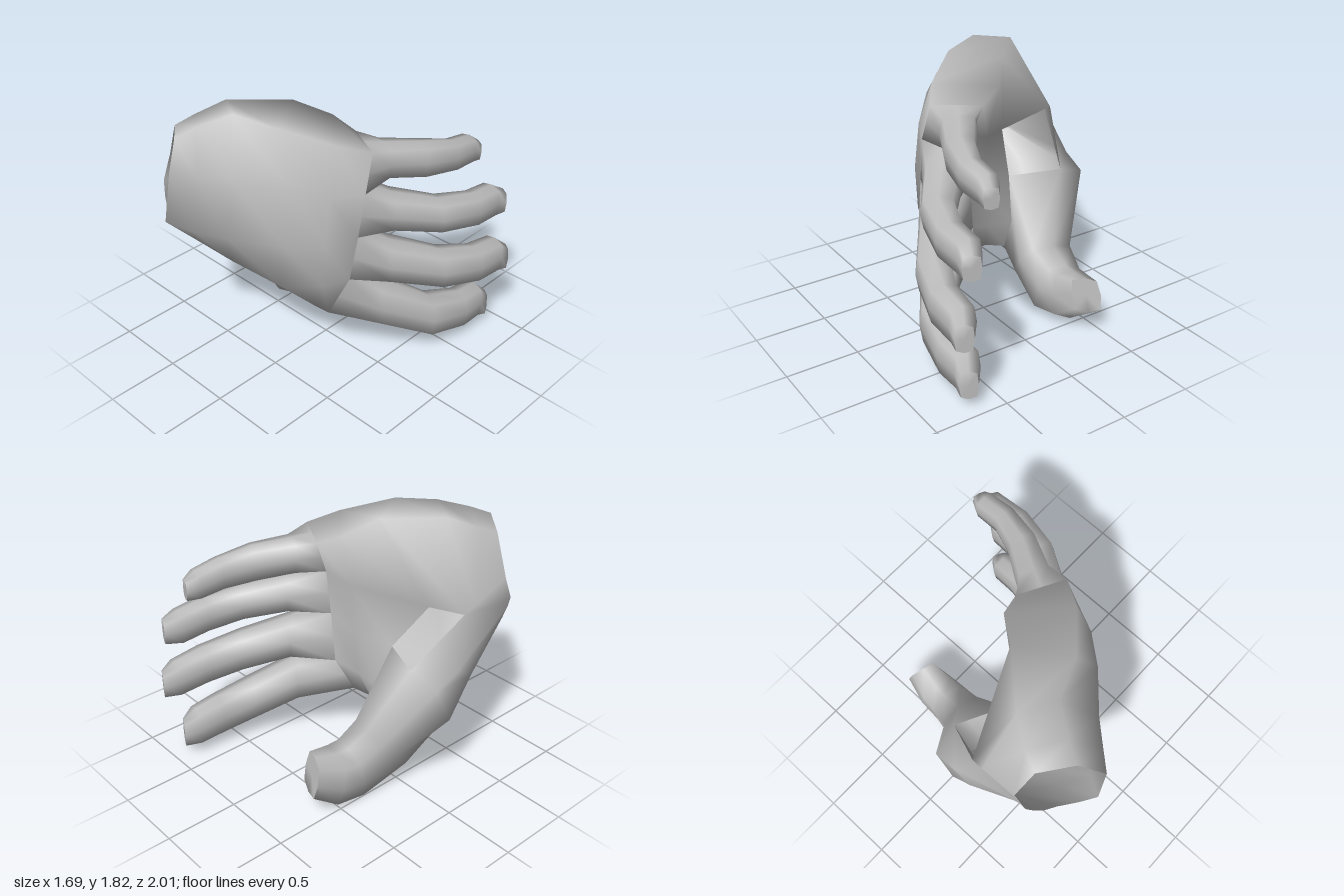
import * as THREE from 'three';

const skin = new THREE.MeshStandardMaterial({ color: 0xbcbcbc, side: THREE.DoubleSide });
skin.name = 'plain grey';

const mid = (a, b) => a.map((v, q) => (v + b[q]) / 2);

// Skin a list of closed rings; skip(i, j) leaves a cell open, cap closes the last ring.
function loft(name, rings, { skip = () => false, cap = true } = {}) {
  const n = rings[0].length;
  const pos = rings.flat(2);
  const index = [];
  for (let i = 0; i < rings.length - 1; i++) {
    for (let j = 0; j < n; j++) {
      if (skip(i, j)) continue;
      const k = (j + 1) % n;
      const a = i * n + j, b = i * n + k, c = a + n, d = b + n;
      index.push(a, b, d, a, d, c);
    }
  }
  if (cap) {
    const last = rings[rings.length - 1];
    const start = pos.length / 3;
    const centre = [0, 1, 2].map((q) => last.reduce((s, p) => s + p[q], 0) / n);
    pos.push(...last.flat(), ...centre);
    for (let j = 0; j < n; j++) index.push(start + j, start + ((j + 1) % n), start + n);
  }
  const geo = new THREE.BufferGeometry();
  geo.setAttribute('position', new THREE.Float32BufferAttribute(pos, 3));
  geo.setIndex(index);
  geo.computeVertexNormals();
  const mesh = new THREE.Mesh(geo, skin);
  mesh.name = name;
  return mesh;
}

// Average normals where parts meet, leaving sharp edges sharp.
function blendSeams(meshes) {
  const spots = new Map();
  for (const { geometry: g } of meshes) {
    const p = g.attributes.position;
    for (let i = 0; i < p.count; i++) {
      const key = [p.getX(i), p.getY(i), p.getZ(i)].map((v) => v.toFixed(3)).join();
      if (!spots.has(key)) spots.set(key, []);
      const normal = new THREE.Vector3().fromBufferAttribute(g.attributes.normal, i);
      spots.get(key).push({ attr: g.attributes.normal, i, normal });
    }
  }
  for (const list of spots.values()) {
    for (const a of list) {
      const sum = new THREE.Vector3();
      for (const b of list) if (a.normal.dot(b.normal) > 0.4) sum.add(b.normal);
      if (sum.lengthSq() > 0) sum.normalize();
      a.attr.setXYZ(a.i, sum.x, sum.y, sum.z);
    }
  }
}

// Eight-sided rounded box ring about c, with half-axes h (up) and w (right of travel).
function ring(c, h, w) {
  const soft = (v) => (Math.abs(v) < 1e-6 ? 0 : Math.sign(v) * Math.abs(v) ** 0.55);
  return Array.from({ length: 8 }, (_, k) => {
    const t = (k / 8) * Math.PI * 2;
    const cs = soft(Math.cos(t)), sn = soft(Math.sin(t));
    return c.map((v, q) => v + h[q] * cs + w[q] * sn);
  });
}

// Finger grown from a base ring; stations: x, y, z, half height, half thickness
function finger(name, base, stations) {
  const root = mid(base[2], base[6]);
  const rings = stations.map(([x, y, z, hh, hw], i) => {
    const a = i ? stations[i - 1] : root;
    const b = stations[Math.min(i + 1, stations.length - 1)];
    const dx = b[0] - a[0], dz = b[2] - a[2], len = Math.hypot(dx, dz);
    return ring([x, y, z], [0, hh, 0], [(-dz / len) * hw, 0, (dx / len) * hw]);
  });
  return loft(name, [base, ...rings]);
}

export function createModel() {
  const hand = new THREE.Group();
  hand.name = 'hand';

  // Palm: each ring runs top, back of hand, underside, thumb mound, palm
  const wrist = [
    [-0.46, 1.71, 0.84], [-0.35, 1.57, 0.98], [-0.41, 1.21, 1.0],
    [-0.5, 1.15, 0.93], [-0.6, 1.08, 0.84], [-0.67, 1.04, 0.79],
    [-0.73, 1.16, 0.76], [-0.77, 1.25, 0.73], [-0.78, 1.42, 0.65], [-0.65, 1.68, 0.69],
  ];
  const heel = [
    [-0.39, 1.77, 0.71], [-0.24, 1.54, 0.86], [-0.32, 1.12, 0.87],
    [-0.46, 0.93, 0.74], [-0.68, 0.8, 0.53], [-0.84, 0.87, 0.31],
    [-0.845, 0.95, 0.18], [-0.77, 1.27, 0.37], [-0.775, 1.32, 0.38], [-0.6, 1.73, 0.57],
  ];
  const mound = [
    [-0.27, 1.83, 0.53], [-0.1, 1.5, 0.71], [-0.18, 1.05, 0.71],
    [-0.4, 0.67, 0.5], [-0.66, 0.38, 0.16], [-0.84, 0.6, 0.13],
    [-0.84, 0.87, 0.0], [-0.63, 0.94, -0.03], [-0.77, 1.28, 0.29], [-0.49, 1.81, 0.4],
  ];
  const middle = [
    [0.0, 1.79, 0.42], [0.13, 1.5, 0.5], [0.14, 1.05, 0.52],
    [0.06, 0.66, 0.46], [-0.22, 0.4, 0.17], [-0.23, 0.4, 0.08],
    [-0.27, 0.6, 0.05], [-0.3, 0.91, 0.13], [-0.4, 1.16, 0.36], [-0.2, 1.8, 0.09],
  ];
  const knuckles = [
    [0.28, 1.68, 0.18], [0.32, 1.38, 0.29], [0.33, 1.05, 0.34],
    [0.31, 0.74, 0.35], [0.12, 0.42, 0.23], [-0.1, 0.43, 0.12],
    [-0.06, 0.62, 0.05], [-0.03, 0.95, 0.03], [-0.03, 1.3, 0.0], [-0.05, 1.68, -0.11],
  ];
  // Web points between the fingers: back of hand, then palm side, from the top
  const back = [
    [0.4, 1.61, 0.0], [0.42, 1.36, 0.08], [0.41, 1.06, 0.13], [0.38, 0.74, 0.17], [0.22, 0.4, 0.2],
  ];
  const front = [
    [0.11, 1.6, -0.16], [0.14, 1.36, -0.06], [0.13, 1.04, -0.03], [0.1, 0.68, -0.02], [0.02, 0.45, 0.08],
  ];
  // The wrist is open, one cell of the palm is missing, and the thumb fills three more
  const palm = loft('palm', [wrist, heel, mound, middle, knuckles, [...back, ...[...front].reverse()]], {
    skip: (i, j) => i === 2 && j >= 4 && j <= 7,
    cap: false,
  });

  // Thumb, grown from the opening left in the palm
  const thumb = loft('thumb', [
    [mound[7], middle[7], middle[6], middle[5], middle[4], mound[4], mound[5], mound[6]],
    ring([-0.44, 0.32, -0.09], [0, 0.15, -0.13], [0.18, 0.02, 0.02]),
    ring([-0.4, 0.2, -0.32], [-0.03, 0.19, -0.05], [0.15, 0.035, 0.02]),
    ring([-0.4, 0.22, -0.48], [-0.02, 0.17, 0.02], [0.14, 0.03, 0.03]),
    ring([-0.39, 0.3, -0.65], [0, 0.12, 0.03], [0.1, 0.02, 0.035]),
  ]);

  // Fingers, from highest to lowest
  const fingers = {
    littleFinger: [
      [0.32, 1.47, -0.2, 0.115, 0.12], [0.45, 1.435, -0.42, 0.12, 0.1],
      [0.52, 1.4, -0.64, 0.105, 0.08], [0.52, 1.38, -0.82, 0.095, 0.075],
      [0.545, 1.35, -0.89, 0.07, 0.05],
    ],
    ringFinger: [
      [0.42, 1.15, -0.17, 0.125, 0.13], [0.61, 1.085, -0.42, 0.115, 0.11],
      [0.69, 1.045, -0.68, 0.115, 0.095], [0.69, 1.025, -0.88, 0.115, 0.085],
      [0.73, 1.0, -0.97, 0.085, 0.06],
    ],
    middleFinger: [
      [0.44, 0.79, -0.14, 0.145, 0.135], [0.65, 0.685, -0.42, 0.135, 0.115],
      [0.74, 0.63, -0.68, 0.13, 0.1], [0.75, 0.605, -0.9, 0.125, 0.09],
      [0.79, 0.565, -0.98, 0.095, 0.06],
    ],
    indexFinger: [
      [0.41, 0.46, -0.1, 0.16, 0.135], [0.61, 0.29, -0.38, 0.15, 0.115],
      [0.67, 0.23, -0.64, 0.14, 0.1], [0.67, 0.215, -0.82, 0.135, 0.09],
      [0.71, 0.165, -0.9, 0.1, 0.06],
    ],
  };
  const digits = Object.entries(fingers).map(([name, stations], k) => {
    const [b0, b1, f0, f1] = [back[k], back[k + 1], front[k], front[k + 1]];
    const base = [mid(f0, b0), b0, mid(b0, b1), b1, mid(b1, f1), f1, mid(f1, f0), f0];
    return finger(name, base, stations);
  });

  const parts = [palm, thumb, ...digits];
  blendSeams(parts);
  hand.add(...parts);
  return hand;
}
